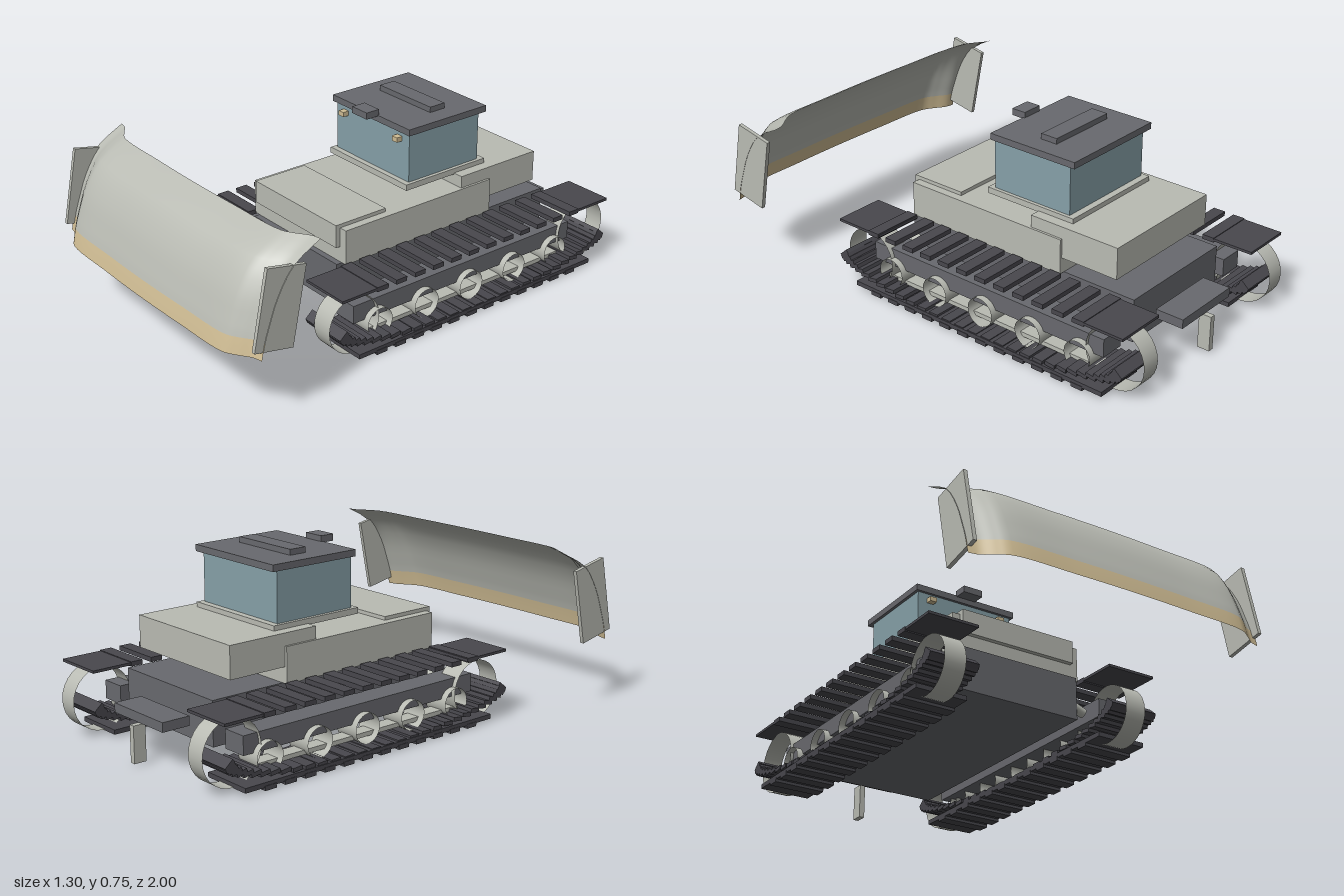
import * as THREE from 'three';

const mat = (name, color, side = THREE.FrontSide) => {
  const m = new THREE.MeshStandardMaterial({ color, side });
  m.name = name;
  return m;
};

export function createModel() {
  const light = mat('lightGrey', 0xb9bbb3, THREE.DoubleSide);
  const dark = mat('darkGrey', 0x68696e);
  const trackMat = mat('trackGrey', 0x48474d);
  const glass = mat('glassBlue', 0x86a0a8);
  const tan = mat('tan', 0xd0bd94, THREE.DoubleSide);

  const model = new THREE.Group();
  model.name = 'bulldozer';

  const add = (name, geo, material, parent = model) => {
    const m = new THREE.Mesh(geo, material);
    m.name = name;
    parent.add(m);
    return m;
  };
  // Box given by its limits on each axis
  const box = (name, material, [x0, x1], [y0, y1], [z0, z1], parent) => {
    const m = add(name, new THREE.BoxGeometry(x1 - x0, y1 - y0, z1 - z0), material, parent);
    m.position.set((x0 + x1) / 2, (y0 + y1) / 2, (z0 + z1) / 2);
    return m;
  };

  // Hull and bodywork
  box('hull', dark, [-0.27, 0.27], [0.107, 0.285], [-0.815, 0.285]);
  box('body', light, [-0.295, 0.295], [0.285, 0.43], [-0.49, 0.26]);
  box('hood', light, [-0.26, 0.26], [0.35, 0.445], [0.035, 0.28]);
  box('rearDeck', light, [-0.285, 0.285], [0.35, 0.48], [-0.745, -0.34]);

  // Cab
  box('cabBase', light, [-0.24, 0.24], [0.475, 0.5], [-0.505, -0.088]);
  box('cabGlass', glass, [-0.225, 0.225], [0.5, 0.705], [-0.477, -0.112]);
  box('cabRoof', dark, [-0.238, 0.238], [0.703, 0.73], [-0.505, -0.1]);
  box('roofHatch', dark, [-0.155, 0.155], [0.73, 0.753], [-0.355, -0.28]);
  box('roofSensor', dark, [-0.045, 0.045], [0.725, 0.753], [-0.108, -0.045]);
  for (const s of [-1, 1])
    box('lamp', tan, [s * 0.167 - 0.015, s * 0.167 + 0.015], [0.662, 0.682], [-0.112, -0.085]);

  // Rear hitch and ripper tooth
  box('hitch', dark, [-0.155, 0.155], [0.165, 0.203], [-0.955, -0.835]);
  box('ripper', light, [-0.012, 0.012], [0.012, 0.16], [-0.985, -0.932]);

  // Track assembly, one on each side
  const hoop = (name, r, width, y, z, parent) => {
    const g = new THREE.CylinderGeometry(r, r, width, 28, 1, true).rotateZ(Math.PI / 2);
    add(name, g, light, parent).position.set(0.413, y, z);
  };
  const X = [0.303, 0.52];
  const makeTrack = (name) => {
    const t = new THREE.Group();
    t.name = name;
    box('trackFrame', dark, [0.336, 0.44], [0.12, 0.195], [-0.81, 0.34], t);
    box('rollerRail', light, [0.38, 0.44], [0.058, 0.076], [-0.8, 0.28], t);
    hoop('idler', 0.12, 0.093, 0.13, 0.35, t);
    hoop('sprocket', 0.13, 0.083, 0.15, -0.87, t);
    for (let i = 0; i < 5; i++) hoop('roller', 0.06, 0.11, 0.1, 0.23 - i * 0.235, t);
    // Flat runs: end plates, slats and the ground plate
    box('topFrontPlate', trackMat, X, [0.28, 0.291], [0.235, 0.455], t);
    box('topRearPlate', trackMat, X, [0.28, 0.291], [-0.95, -0.73], t);
    box('groundPlate', trackMat, X, [0.016, 0.035], [-0.865, 0.375], t);
    for (let i = 0; i < 12; i++) {
      const z = 0.265 - i * 0.0925;
      box('topShoe', trackMat, [0.301, 0.522], [0.275, 0.294], [z - 0.026, z + 0.026], t);
      box('groundShoe', trackMat, [0.301, 0.522], [0.004, 0.022], [z - 0.026, z + 0.026], t);
    }
    // Sagging lower chain
    const n = 32;
    for (let i = 0; i <= n; i++) {
      const a = (i / n) * Math.PI;
      const shoe = add('chainShoe', new THREE.BoxGeometry(0.212, 0.016, 0.045), trackMat, t);
      shoe.position.set(0.411, 0.135 - 0.105 * Math.sin(a), -0.242 + 0.685 * Math.cos(a));
      shoe.rotation.x = Math.atan2(0.105 * Math.cos(a), 0.685 * Math.sin(a) + 0.12);
    }
    // Push arm stub beside the hull
    const stub = add('armStub', new THREE.CylinderGeometry(0.02, 0.02, 0.055, 16), light, t);
    stub.position.set(0.29, 0.16, 0.265);
    stub.rotation.z = 1.2;
    return t;
  };
  const left = makeTrack('leftTrack');
  const right = makeTrack('rightTrack');
  right.rotation.y = Math.PI;
  // Mirror by position so that faces keep their winding
  right.rotation.y = 0;
  for (const m of right.children) {
    m.position.x *= -1;
    m.rotation.z *= -1;
  }
  model.add(left, right);

  // Blade: a curved profile swept across, with swept-back wings
  const profile = new THREE.SplineCurve([
    [0.995, 0.275], [0.98, 0.34], [0.96, 0.4], [0.92, 0.5], [0.85, 0.6], [0.735, 0.665],
  ].map(([z, y]) => new THREE.Vector2(z, y)));
  const sweep = new THREE.CatmullRomCurve3([
    [-0.65, -0.083], [-0.61, -0.073], [-0.56, -0.04], [-0.51, -0.015], [-0.25, -0.004], [0, 0],
    [0.25, -0.004], [0.51, -0.015], [0.56, -0.04], [0.61, -0.073], [0.65, -0.083],
  ].map(([x, z]) => new THREE.Vector3(x, 0, z)));
  const bladeStrip = (name, t0, t1, rows, material) => {
    const cols = 60;
    const g = new THREE.PlaneGeometry(1, 1, cols, rows);
    const p = g.attributes.position;
    for (let i = 0; i < p.count; i++) {
      const s = sweep.getPoint(p.getX(i) + 0.5);
      const q = profile.getPoint(t0 + (t1 - t0) * (p.getY(i) + 0.5));
      p.setXYZ(i, s.x, q.y, q.x + s.z);
    }
    g.computeVertexNormals();
    add(name, g, material);
  };
  bladeStrip('cuttingEdge', 0, 0.2, 3, tan);
  bladeStrip('blade', 0.2, 1, 12, light);

  // Tilted end plates of the blade
  for (const s of [-1, 1]) {
    const plate = add('bladeEndPlate', new THREE.BoxGeometry(0.016, 0.315, 0.168), light);
    plate.position.set(s * 0.64, 0.451, 0.827);
    plate.rotation.x = -0.2;
  }
  return model;
}
